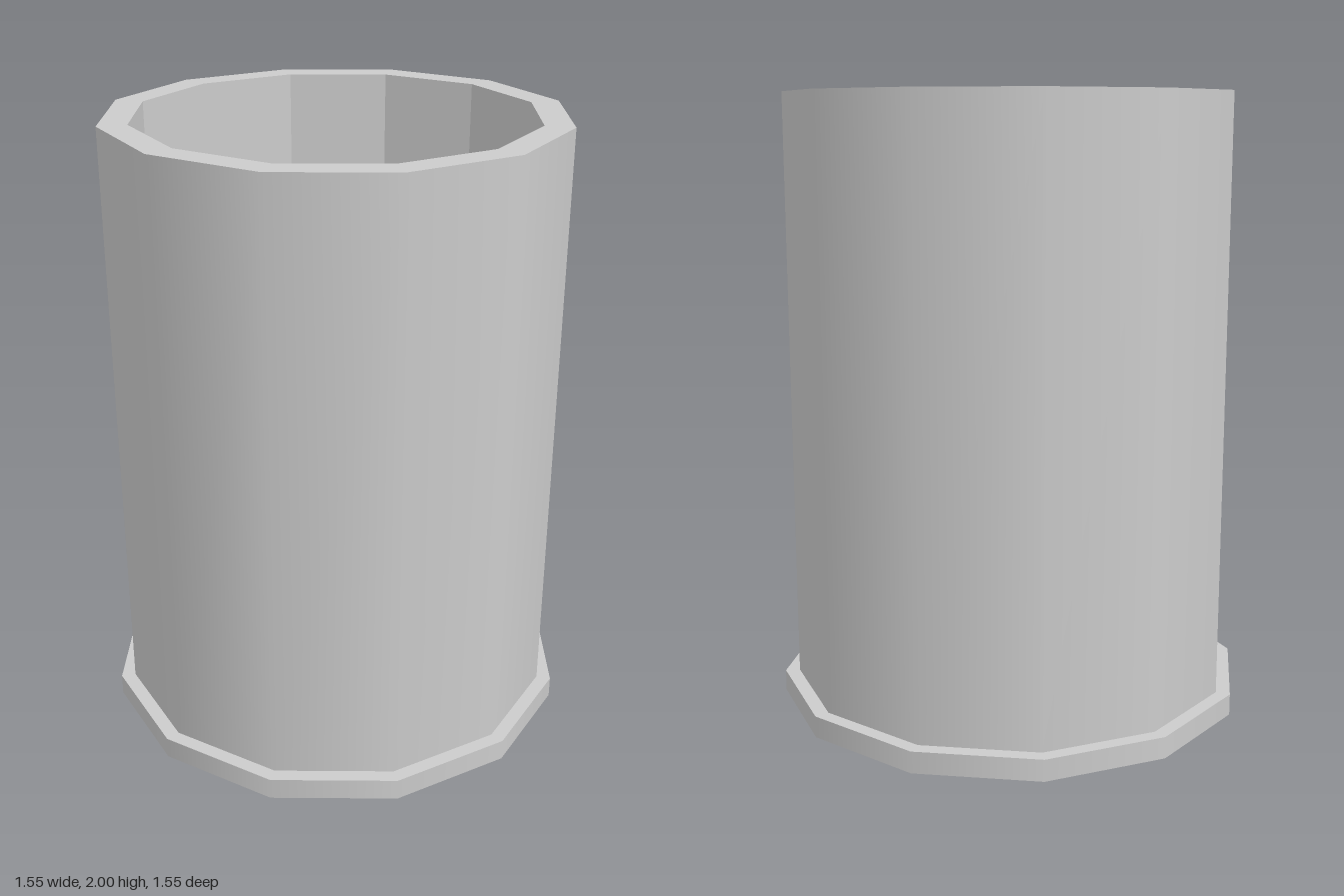
import * as THREE from 'three';

const SIDES = 12;
const HEIGHT = 2;
const BASE_HEIGHT = 0.07;
const BASE_RADIUS = 0.775;
const OUTER_RADIUS = 0.728;
const INNER_RADIUS = 0.635;

export function createModel() {
  const group = new THREE.Group();
  group.name = 'cup';
  const smooth = new THREE.MeshStandardMaterial({ color: 0xcccccc });
  const faceted = new THREE.MeshStandardMaterial({ color: 0xcccccc, flatShading: true });

  const add = (name, geometry, material, y) => {
    const mesh = new THREE.Mesh(geometry, material);
    mesh.name = name;
    mesh.position.y = y;
    group.add(mesh);
  };

  const wallHeight = HEIGHT - BASE_HEIGHT;
  const wallCentre = BASE_HEIGHT + wallHeight / 2;

  // Solid base plate, its top also forming the floor of the cup
  add('base', new THREE.CylinderGeometry(BASE_RADIUS, BASE_RADIUS, BASE_HEIGHT, SIDES), smooth, BASE_HEIGHT / 2);

  // Smooth outer wall
  add('outerWall', new THREE.CylinderGeometry(OUTER_RADIUS, OUTER_RADIUS, wallHeight, SIDES, 1, true), smooth, wallCentre);

  // Faceted inner wall, mirrored so that its faces point inward
  const inner = new THREE.CylinderGeometry(INNER_RADIUS, INNER_RADIUS, wallHeight, SIDES, 1, true)
    .scale(-1, 1, 1).toNonIndexed();
  inner.computeVertexNormals();
  add('innerWall', inner, faceted, wallCentre);

  // Flat rim joining the two walls
  add('rim', new THREE.RingGeometry(INNER_RADIUS, OUTER_RADIUS, SIDES).rotateX(-Math.PI / 2), smooth, HEIGHT);

  return group;
}
